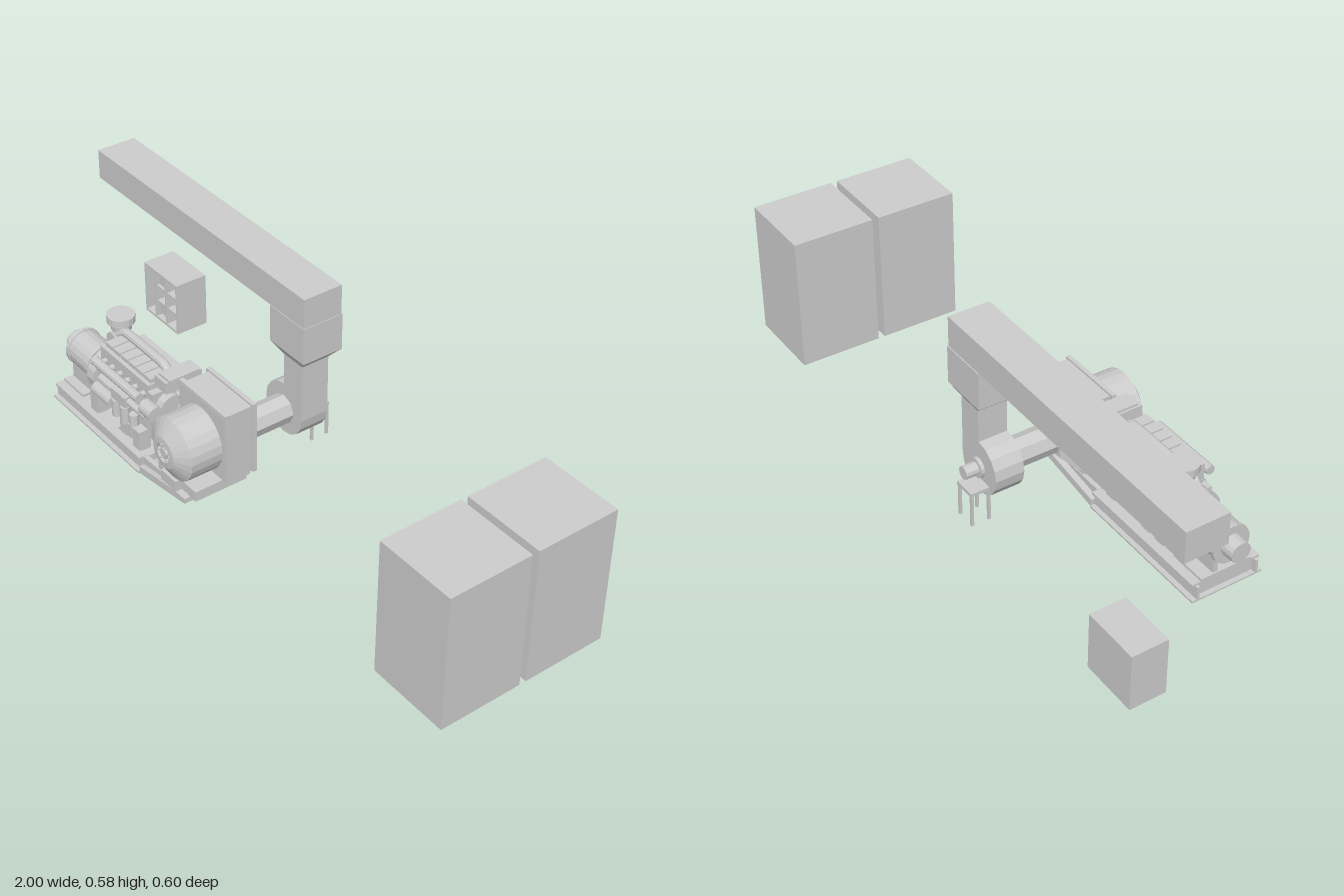
import * as THREE from 'three';

export function createModel() {
  const root = new THREE.Group();
  const mat = new THREE.MeshStandardMaterial({ color: 0xcccccc, flatShading: true, side: THREE.DoubleSide });

  const add = (parent, name, geo) => {
    const m = new THREE.Mesh(geo, mat);
    m.name = name;
    parent.add(m);
    return m;
  };
  const group = (name) => {
    const g = new THREE.Group();
    g.name = name;
    root.add(g);
    return g;
  };
  // box from its min and max corners
  const box = (p, name, x0, x1, y0, y1, z0, z1) => {
    const m = add(p, name, new THREE.BoxGeometry(x1 - x0, y1 - y0, z1 - z0));
    m.position.set((x0 + x1) / 2, (y0 + y1) / 2, (z0 + z1) / 2);
    return m;
  };
  // cylinder or cone between two points
  const rod = (p, name, a, b, r0, r1 = r0, seg = 16, turn = 0) => {
    const va = new THREE.Vector3(...a), vb = new THREE.Vector3(...b);
    const d = vb.clone().sub(va);
    const geo = new THREE.CylinderGeometry(r1, r0, d.length(), seg);
    geo.rotateY(turn);
    const m = add(p, name, geo);
    m.position.copy(va).add(vb).multiplyScalar(0.5);
    m.quaternion.setFromUnitVectors(new THREE.Vector3(0, 1, 0), d.normalize());
    return m;
  };
  // outline in x, y extruded from z0 to z1
  const prism = (p, name, pts, z0, z1) => {
    const s = new THREE.Shape(pts.map(([x, y]) => new THREE.Vector2(x, y)));
    const m = add(p, name, new THREE.ExtrudeGeometry(s, { depth: z1 - z0, bevelEnabled: false }));
    m.position.z = z0;
    return m;
  };
  const tube = (p, name, pts, r) => {
    const curve = new THREE.CatmullRomCurve3(pts.map((q) => new THREE.Vector3(...q)), false, 'catmullrom', 0.2);
    return add(p, name, new THREE.TubeGeometry(curve, 24, r, 10));
  };
  // box whose vertices on one side of an axis are scaled about a centre to a smaller rectangle
  const taper = (m, axis, sign, su, sv, u, v, du = 0, dv = 0) => {
    const a = m.geometry.attributes.position;
    for (let i = 0; i < a.count; i++) {
      if (a['get' + axis](i) * sign < 0) continue;
      a['set' + u](i, a['get' + u](i) * su + du);
      a['set' + v](i, a['get' + v](i) * sv + dv);
    }
    m.geometry.computeVertexNormals();
  };

  // Two large cabinets
  box(root, 'frontCabinet', 0.745, 0.998, 0.002, 0.425, -0.007, 0.247);
  box(root, 'rearCabinet', 0.745, 0.998, 0.002, 0.425, -0.284, -0.028);

  // Overhead duct, drop and reducer
  const duct = group('exhaustDuct');
  box(duct, 'overheadDuct', -1, 0.01, 0.485, 0.578, -0.217, -0.09);
  box(duct, 'ductDrop', -0.14, 0.012, 0.37, 0.485, -0.22, -0.088);
  taper(box(duct, 'ductReducer', -0.14, 0.012, 0.335, 0.37, -0.22, -0.088), 'Y', -1, 0.54, 0.68, 'X', 'Z', 0.003);

  // Centrifugal fan with round casing and tangent outlet
  const fan = group('exhaustFan');
  const FX = -0.103, FY = 0.15;
  box(fan, 'fanOutlet', -0.102, -0.02, FY, 0.335, -0.199, -0.109);
  rod(fan, 'fanCasing', [FX, FY, -0.199], [FX, FY, -0.109], 0.083, 0.083, 16);
  rod(fan, 'inletPipe', [FX, FY, -0.109], [FX, FY, 0.045], 0.045, 0.045, 8);
  rod(fan, 'fanHub', [FX, FY, -0.21], [FX, FY, -0.199], 0.03);
  rod(fan, 'fanMotor', [FX, FY, -0.25], [FX, FY, -0.21], 0.02, 0.02, 12);
  box(fan, 'motorTable', -0.155, -0.085, 0.105, 0.115, -0.258, -0.2);
  for (const x of [-0.15, -0.09]) for (const z of [-0.253, -0.2])
    box(fan, 'fanLeg', x - 0.004, x + 0.004, 0.003, 0.108, z - 0.004, z + 0.004);

  // Radiator: casing, rear hood and front drum
  const rad = group('radiator');
  const RX = -0.103, RY = 0.178;
  box(rad, 'radiatorCasing', -0.2, 0.002, 0.08, 0.3, 0.07, 0.17);
  for (const z of [0.065, 0.155]) {
    box(rad, 'topFlange', -0.21, 0.007, 0.297, 0.306, z, z + 0.014);
    box(rad, 'bottomFlange', -0.21, 0.007, 0.078, 0.087, z, z + 0.014);
    for (const x of [-0.21, -0.002]) box(rad, 'sideFlange', x, x + 0.009, 0.08, 0.304, z, z + 0.014);
  }
  taper(box(rad, 'rearHood', -0.208, 0.005, 0.082, 0.302, -0.035, 0.067), 'Z', -1, 0.42, 0.42, 'X', 'Y', 0, -0.04);
  rad.children[rad.children.length - 1].scale.z = 0.35;
  rad.children[rad.children.length - 1].position.z = 0.05;
  const drumPoints = [[0.096, 0], [0.096, 0.1], [0.048, 0.128], [0.03, 0.13], [0.03, 0.122], [0, 0.122]];
  const drum = add(rad, 'frontDrum', new THREE.LatheGeometry(drumPoints.map((q) => new THREE.Vector2(...q)), 24));
  drum.rotation.x = Math.PI / 2;
  drum.position.set(RX, RY, 0.17);
  rod(rad, 'drumHub', [RX, RY, 0.285], [RX, RY, 0.299], 0.016, 0.014, 12);
  for (let i = 0; i < 6; i++) {
    const a = (i * Math.PI) / 3;
    rod(rad, 'hubBolt', [RX + 0.024 * Math.cos(a), RY + 0.024 * Math.sin(a), 0.29],
      [RX + 0.024 * Math.cos(a), RY + 0.024 * Math.sin(a), 0.3], 0.004, 0.004, 6);
  }
  box(rad, 'radiatorFoot', -0.19, -0.01, 0.05, 0.082, 0.09, 0.26);
  box(rad, 'frontFoot', -0.14, -0.07, 0.058, 0.092, 0.25, 0.285);

  // Skid: two I-beams, deck and a raised sloping end
  const skid = group('skid');
  for (const z of [0.075, 0.265]) {
    box(skid, 'beamBottom', -0.715, -0.26, 0, 0.006, z - 0.019, z + 0.019);
    box(skid, 'beamWeb', -0.715, -0.26, 0.006, 0.046, z - 0.004, z + 0.004);
    box(skid, 'beamTop', -0.705, -0.26, 0.044, 0.052, z - 0.014, z + 0.014);
  }
  box(skid, 'floorPlate', -0.715, -0.26, 0, 0.005, 0.07, 0.27);
  for (const x of [-0.7, -0.58, -0.44, -0.28]) box(skid, 'crossMember', x, x + 0.02, 0.005, 0.046, 0.075, 0.265);
  const end = [[-0.26, 0], [-0.035, 0.036], [-0.035, 0.052], [-0.08, 0.052], [-0.26, 0.024]];
  prism(skid, 'slopingEnd', end, 0.06, 0.28);
  for (const z of [0.08, 0.25]) prism(skid, 'endRail', [[-0.26, 0.02], [-0.08, 0.048], [-0.08, 0.055], [-0.26, 0.05]], z, z + 0.014);

  // Generator
  const gen = group('generator');
  const AY = 0.142, AZ = 0.175;
  rod(gen, 'generatorBody', [-0.71, AY, AZ], [-0.598, AY, AZ], 0.056, 0.056, 20);
  for (const x of [-0.712, -0.606]) rod(gen, 'endRing', [x, AY, AZ], [x + 0.012, AY, AZ], 0.059, 0.059, 20);
  rod(gen, 'generatorCap', [-0.752, AY, AZ], [-0.71, AY, AZ], 0.031, 0.034, 16);
  rod(gen, 'coupling', [-0.598, AY, AZ], [-0.57, AY, AZ], 0.03, 0.04);
  for (const z of [0.13, 0.205]) box(gen, 'generatorFoot', -0.7, -0.605, 0.046, 0.11, z, z + 0.015);
  box(gen, 'generatorBase', -0.705, -0.6, 0.05, 0.058, 0.09, 0.25);

  // Engine block
  const eng = group('engine');
  box(eng, 'block', -0.555, -0.285, 0.09, 0.2, 0.12, 0.23);
  box(eng, 'cylinderHead', -0.53, -0.285, 0.2, 0.262, 0.128, 0.222);
  taper(box(eng, 'oilPan', -0.53, -0.3, 0.052, 0.09, 0.125, 0.225), 'Y', -1, 0.8, 0.75, 'X', 'Z');
  rod(eng, 'flywheelHousing', [-0.575, AY, AZ], [-0.54, AY, AZ], 0.072, 0.072, 16);
  for (let i = 0; i < 6; i++) {
    const x = -0.52 + i * 0.039;
    box(eng, 'rockerCover', x, x + 0.034, 0.26, 0.275, 0.14, 0.21);
    rod(eng, 'exhaustPort', [x + 0.017, 0.225, 0.2], [x + 0.017, 0.225, 0.247], 0.009, 0.009, 8);
    rod(eng, 'intakePort', [x + 0.017, 0.23, 0.15], [x + 0.017, 0.23, 0.098], 0.009, 0.009, 8);
  }
  rod(eng, 'exhaustManifold', [-0.525, 0.225, 0.247], [-0.295, 0.225, 0.247], 0.014, 0.014, 10);
  box(eng, 'intakeManifold', -0.525, -0.295, 0.213, 0.245, 0.078, 0.104);
  // Air filter and charge pipe
  rod(eng, 'airFilter', [-0.553, 0.275, 0.135], [-0.553, 0.302, 0.135], 0.03, 0.034);
  rod(eng, 'filterCap', [-0.553, 0.3, 0.135], [-0.553, 0.323, 0.135], 0.042);
  rod(eng, 'turboHousing', [-0.55, 0.238, 0.12], [-0.55, 0.238, 0.17], 0.032);
  rod(eng, 'filterNeck', [-0.553, 0.235, 0.135], [-0.553, 0.28, 0.135], 0.018);
  tube(eng, 'chargePipe', [[-0.55, 0.26, 0.155], [-0.51, 0.285, 0.145], [-0.33, 0.285, 0.145],
    [-0.302, 0.275, 0.145], [-0.298, 0.235, 0.135]], 0.014);
  // Side accessories
  rod(eng, 'starter', [-0.53, 0.125, 0.243], [-0.44, 0.125, 0.243], 0.02);
  rod(eng, 'fuelPump', [-0.505, 0.172, 0.24], [-0.43, 0.172, 0.24], 0.013, 0.013, 12);
  box(eng, 'pumpBody', -0.43, -0.36, 0.155, 0.188, 0.225, 0.256);
  rod(eng, 'coolerPipe', [-0.36, 0.172, 0.24], [-0.27, 0.172, 0.24], 0.011, 0.011, 12);
  box(eng, 'controlBox', -0.4, -0.345, 0.056, 0.1, 0.22, 0.25);
  rod(eng, 'oilCooler', [-0.5, 0.15, 0.1], [-0.34, 0.15, 0.1], 0.022);
  box(eng, 'rearBracket', -0.46, -0.36, 0.1, 0.125, 0.075, 0.125);
  for (const x of [-0.42, -0.375, -0.33]) rod(eng, 'filterCan', [x, 0.095, 0.246], [x, 0.15, 0.246], 0.014, 0.014, 12);
  for (const x of [-0.54, -0.32]) for (const z of [0.09, 0.222]) box(eng, 'engineMount', x, x + 0.035, 0.05, 0.115, z, z + 0.038);
  // Front drive: pulleys, water pump and header tank
  box(eng, 'timingCase', -0.287, -0.262, 0.085, 0.245, 0.125, 0.225);
  rod(eng, 'crankPulley', [-0.262, 0.115, AZ], [-0.235, 0.115, AZ], 0.034);
  rod(eng, 'pumpPulley', [-0.262, 0.195, AZ], [-0.235, 0.195, AZ], 0.042);
  rod(eng, 'driveShaft', [-0.24, 0.178, AZ - 0.04], [-0.195, 0.178, AZ - 0.04], 0.028, 0.034);
  rod(eng, 'alternator', [-0.285, 0.2, 0.235], [-0.232, 0.2, 0.235], 0.024);
  box(eng, 'headerTank', -0.278, -0.222, 0.262, 0.298, 0.085, 0.205);
  box(eng, 'tankLid', -0.272, -0.218, 0.298, 0.305, 0.095, 0.195);
  tube(eng, 'coolantHose', [[-0.25, 0.265, 0.15], [-0.245, 0.235, 0.15], [-0.215, 0.23, 0.14], [-0.195, 0.23, 0.13]], 0.014);

  // Open-fronted control cabinet with shelves
  const cab = group('controlCabinet');
  const X0 = -0.932, X1 = -0.757, Z0 = -0.299, Z1 = -0.19;
  box(cab, 'cabinetBack', X0, X1, 0.005, 0.181, Z0, Z0 + 0.03);
  box(cab, 'cabinetTop', X0, X1, 0.173, 0.181, Z0, Z1);
  box(cab, 'cabinetFloor', X0, X1, 0.005, 0.013, Z0, Z1);
  for (const x of [X0, -0.878, -0.822, X1 - 0.006]) box(cab, 'cabinetWall', x, x + 0.006, 0.005, 0.181, Z0, Z1);
  for (const y of [0.065, 0.12]) box(cab, 'shelf', -0.878, X1, y, y + 0.006, Z0, Z1 - 0.005);
  box(cab, 'upperUnit', -0.872, -0.825, 0.126, 0.165, Z0, Z1 - 0.015);
  box(cab, 'lowerUnit', -0.872, -0.825, 0.02, 0.06, Z0, Z1 - 0.015);

  return root;
}
